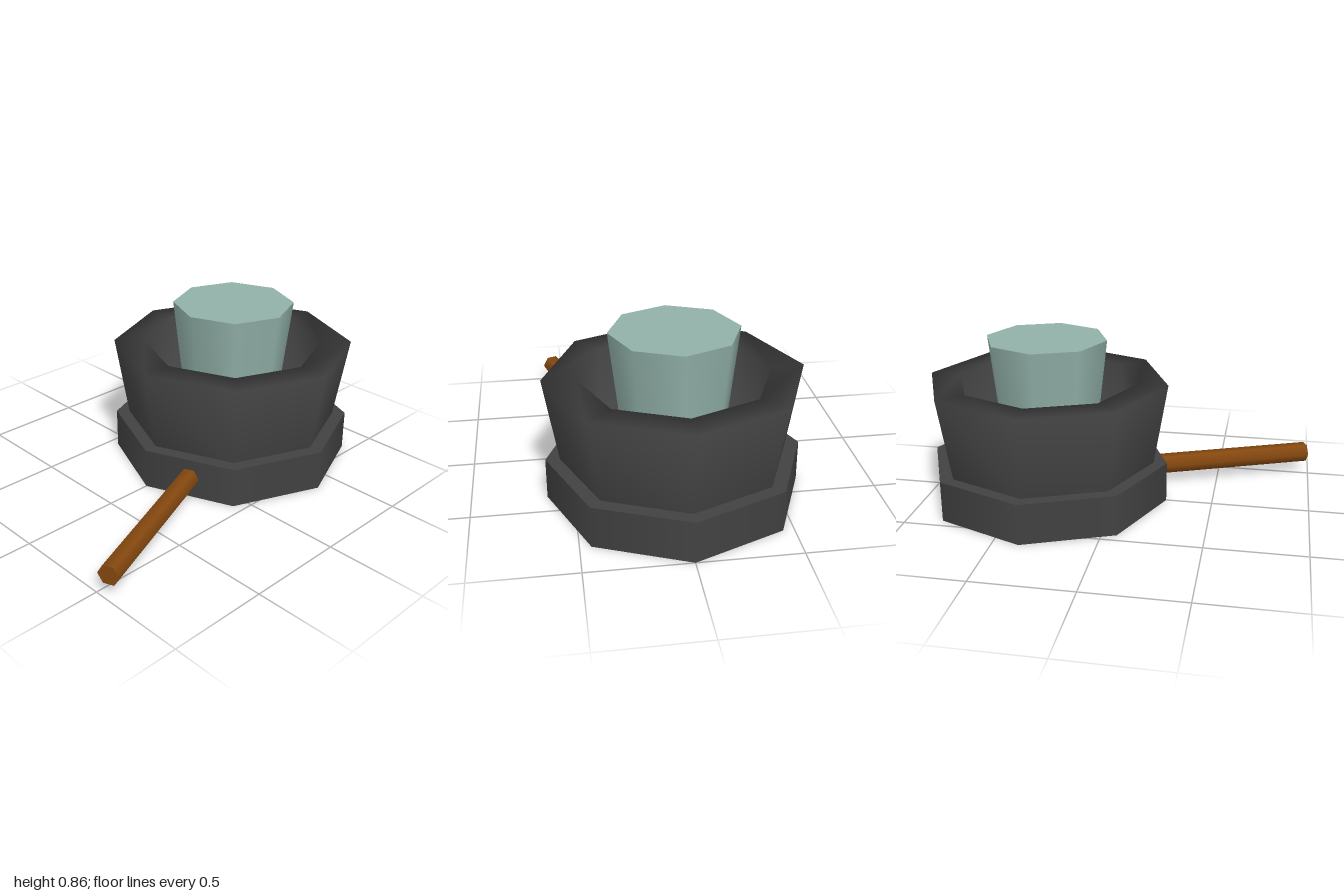
import * as THREE from 'three';

const SIDES = 8;
const CENTRE_Z = -0.37;

export function createModel() {
  const darkGrey = new THREE.MeshStandardMaterial({ color: 0x424242 });
  const paleTeal = new THREE.MeshStandardMaterial({ color: 0x92b1a9 });
  const brown = new THREE.MeshStandardMaterial({ color: 0x85480f });

  const model = new THREE.Group();
  model.name = 'potWithHandle';

  // Everything but the handle end sits around one vertical axis
  const body = new THREE.Group();
  body.name = 'body';
  body.position.z = CENTRE_Z;
  model.add(body);

  const add = (name, geometry, material, y = 0) => {
    const mesh = new THREE.Mesh(geometry, material);
    mesh.name = name;
    mesh.position.y = y;
    body.add(mesh);
    return mesh;
  };

  // Octagonal base slab
  add('base', new THREE.CylinderGeometry(0.63, 0.63, 0.21, SIDES), darkGrey, 0.105);

  // Flared bowl: outer wall, broad flat rim, inner wall and floor
  const profile = [[0.56, 0.21], [0.63, 0.635], [0.47, 0.635], [0.47, 0.23], [0, 0.23]]
    .map(([r, y]) => new THREE.Vector2(r, y));
  add('bowl', new THREE.LatheGeometry(profile, SIDES), darkGrey);

  // Tapered core standing in the bowl
  add('core', new THREE.CylinderGeometry(0.315, 0.243, 0.635, SIDES), paleTeal, 0.5375);

  // Hexagonal handle leaving the middle of one base face
  const start = 0.57, end = 1.457;
  const bar = new THREE.CylinderGeometry(0.054, 0.054, end - start, 6);
  bar.rotateY(Math.PI / 6);
  bar.rotateX(Math.PI / 2);
  bar.rotateZ(Math.PI / 2 * (isFlatTopped(bar) ? 0 : 1));
  bar.translate(0, 0, (start + end) / 2);
  const handle = add('handle', bar, brown, 0.108);
  handle.rotation.y = Math.PI / 8;

  return model;
}

// True when the hexagon is wider than it is tall
function isFlatTopped(geometry) {
  geometry.computeBoundingBox();
  const size = geometry.boundingBox.getSize(new THREE.Vector3());
  return size.x > size.y;
}
